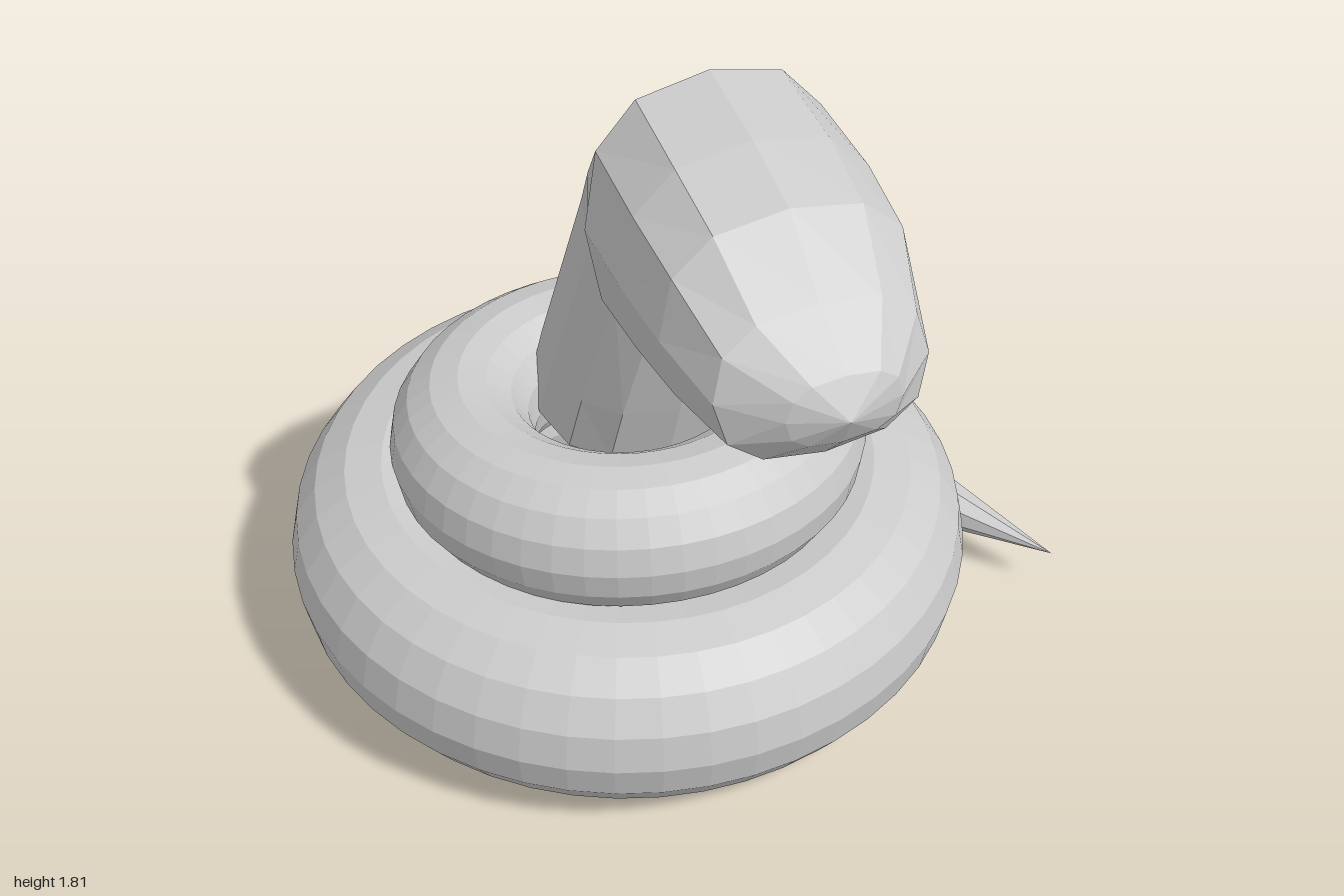
import * as THREE from 'three';

const material = new THREE.MeshStandardMaterial({ color: 0xcccccc, flatShading: true });

function addMesh(group, name, geometry) {
  const mesh = new THREE.Mesh(geometry, material);
  mesh.name = name;
  group.add(mesh);
  return mesh;
}

// Ring of the coiled body, lying flat with a slight tilt
function addCoil(group, name, radius, tube, position, tilt) {
  const geometry = new THREE.TorusGeometry(radius, tube, 16, 48).rotateX(Math.PI / 2);
  const coil = addMesh(group, name, geometry);
  coil.position.set(...position);
  coil.rotation.x = tilt;
}

// Skin over cross-sections. Each section: [back z, y, front z, y, half width, centre x, pinch of the underside]
function loft(sections, sides) {
  const soften = (v) => Math.sign(v) * Math.abs(v) ** 0.8;
  const rings = sections.map(([z0, y0, z1, y1, half, cx, pinch]) =>
    Array.from({ length: sides }, (_, i) => {
      const angle = (i / sides) * Math.PI * 2;
      const t = (1 - soften(Math.cos(angle))) / 2;
      const width = half * (t > 0.8 ? 1 - pinch : 1);
      return new THREE.Vector3(
        cx + width * soften(Math.sin(angle)),
        THREE.MathUtils.lerp(y0, y1, t),
        THREE.MathUtils.lerp(z0, z1, t)
      );
    })
  );
  const points = [];
  const addTriangle = (a, b, c) => {
    if (new THREE.Triangle(a, b, c).getArea() > 1e-7) points.push(a, b, c);
  };
  for (let r = 0; r < rings.length - 1; r++) {
    for (let i = 0; i < sides; i++) {
      const j = (i + 1) % sides;
      addTriangle(rings[r][i], rings[r + 1][i], rings[r + 1][j]);
      addTriangle(rings[r][i], rings[r + 1][j], rings[r][j]);
    }
  }
  const geometry = new THREE.BufferGeometry().setFromPoints(points);
  geometry.computeVertexNormals();
  return geometry;
}

export function createModel() {
  const model = new THREE.Group();
  model.name = 'coiledSnake';

  // Coils
  addCoil(model, 'lowerCoil', 0.633, 0.247, [-0.09, 0.262, -0.12], 0.02);
  addCoil(model, 'upperCoil', 0.42, 0.185, [-0.095, 0.59, -0.1], -0.07);

  // Neck rising from the coils and bending forward into the head
  const neckAndHead = [
    [-0.23, 0.6, -0.23, 0.6, 0, -0.035, 0],
    [-0.49, 0.6, 0.04, 0.6, 0.255, -0.035, 0],
    [-0.43, 0.78, 0.1, 0.78, 0.243, -0.03, 0],
    [-0.18, 1.36, 0.21, 1.14, 0.205, -0.02, 0.1],
    [0.0, 1.58, 0.225, 1.13, 0.24, -0.02, 0.5],
    [0.24, 1.81, 0.27, 1.15, 0.295, -0.02, 0.6],
    [0.48, 1.775, 0.5, 1.2, 0.3, -0.02, 0.4],
    [0.67, 1.725, 0.7, 1.235, 0.288, -0.02, 0.2],
    [0.83, 1.6, 0.89, 1.26, 0.24, -0.02, 0],
    [0.95, 1.5, 0.95, 1.33, 0.13, -0.01, 0],
    [1.0, 1.42, 1.0, 1.42, 0, -0.02, 0],
  ];
  addMesh(model, 'neckAndHead', loft(neckAndHead, 12));

  // Pointed tail leaving the lower coil
  const root = new THREE.Vector3(0.58, 0.17, -0.28);
  const tip = new THREE.Vector3(0.97, 0.12, 0.28);
  const axis = tip.clone().sub(root);
  const tail = addMesh(model, 'tail', new THREE.ConeGeometry(0.14, axis.length(), 8));
  tail.position.copy(root).add(tip).multiplyScalar(0.5);
  tail.quaternion.setFromUnitVectors(new THREE.Vector3(0, 1, 0), axis.normalize());

  return model;
}
